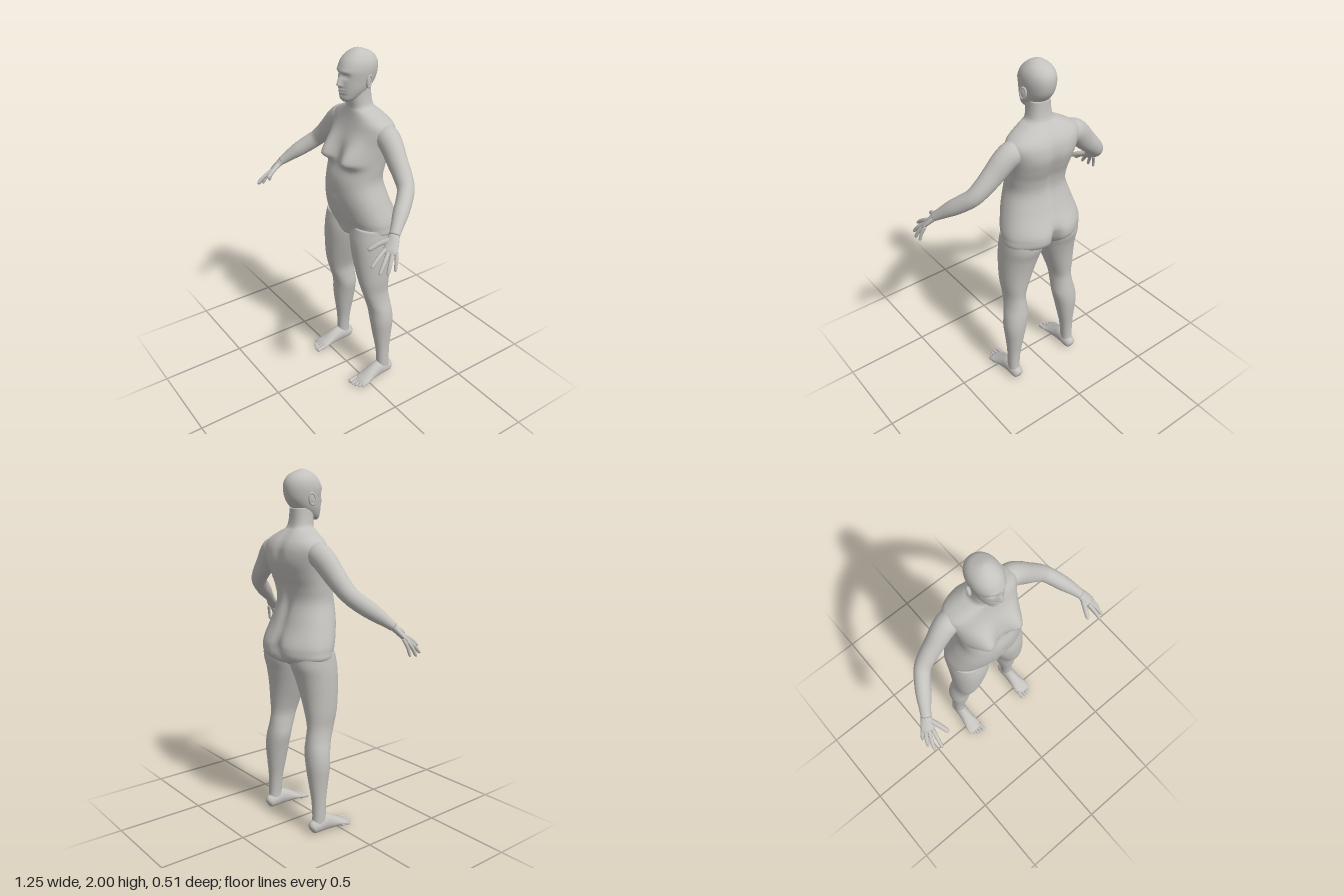
import * as THREE from 'three';

const clay = new THREE.MeshStandardMaterial({ color: 0xc4c2be });
clay.name = 'clay';

// Smooth interpolation of every column of a section table
function refine(rows, steps) {
  const out = [];
  const at = (i) => rows[Math.min(Math.max(i, 0), rows.length - 1)];
  for (let i = 0; i < rows.length - 1; i++) {
    for (let k = 0; k < steps; k++) {
      const t = k / steps;
      out.push(rows[i].map((b, c) => {
        const a = at(i - 1)[c], d = at(i + 1)[c], e = at(i + 2)[c];
        return b + 0.5 * t * (d - a + t * (2 * a - 5 * b + 4 * d - e + t * (3 * (b - d) + e - a)));
      }));
    }
  }
  out.push(rows[rows.length - 1]);
  return out;
}

// Closed skin over a list of rings, with both ends capped
function skin(rings) {
  const n = rings[0].length, last = rings.length - 1;
  const pos = [], idx = [];
  rings.forEach((r) => r.forEach((p) => pos.push(p.x, p.y, p.z)));
  for (let i = 0; i < last; i++) {
    for (let j = 0; j < n; j++) {
      const a = i * n + j, b = i * n + (j + 1) % n;
      idx.push(a, a + n, b, b, a + n, b + n);
    }
  }
  [0, last].forEach((i) => {
    const c = new THREE.Vector3();
    rings[i].forEach((p) => c.addScaledVector(p, 1 / n));
    const m = pos.length / 3;
    pos.push(c.x, c.y, c.z);
    for (let j = 0; j < n; j++) {
      const a = i * n + j, b = i * n + (j + 1) % n;
      if (i === 0) idx.push(m, a, b); else idx.push(m, b, a);
    }
  });
  const g = new THREE.BufferGeometry();
  g.setAttribute('position', new THREE.Float32BufferAttribute(pos, 3));
  g.setIndex(idx);
  g.computeVertexNormals();
  return g;
}

// Upright form from rows [y, centreX, halfWidth, zFront, zBack]; sculpt(p, front) moves points
function upright(rows, sides, steps, power, sculpt) {
  return skin(refine(rows, steps).map(([y, cx, hw, zf, zb]) => {
    const ring = [];
    for (let j = 0; j < sides; j++) {
      const a = (j / sides) * Math.PI * 2, c = Math.cos(a), s = Math.sin(a);
      const p = new THREE.Vector3(
        cx + hw * Math.sign(c) * Math.abs(c) ** power, y,
        (zf + zb) / 2 + (zf - zb) / 2 * Math.sign(s) * Math.abs(s) ** power);
      if (sculpt) p.z += sculpt(p.x, y, s);
      ring.push(p);
    }
    return ring;
  }));
}

// Limb along a path of rows [x, y, z, sideRadius, heightRadius]
function limb(rows, sides = 16, steps = 5) {
  const path = refine(rows, steps);
  const v = path.map((r) => new THREE.Vector3(r[0], r[1], r[2]));
  return skin(path.map((r, i) => {
    const T = v[Math.min(i + 1, v.length - 1)].clone().sub(v[Math.max(i - 1, 0)]).normalize();
    const U = T.clone().cross(new THREE.Vector3(0, 1, 0)).normalize();
    const V = U.clone().cross(T);
    return Array.from({ length: sides }, (_, j) => {
      const a = (j / sides) * Math.PI * 2;
      return v[i].clone().addScaledVector(U, r[3] * Math.cos(a)).addScaledVector(V, r[4] * Math.sin(a));
    });
  }));
}

function mirrored(g) {
  const m = g.clone().scale(-1, 1, 1);
  const a = m.index.array;
  for (let i = 0; i < a.length; i += 3) [a[i], a[i + 1]] = [a[i + 1], a[i]];
  m.computeVertexNormals();
  return m;
}

// Soft bump with separate spreads below and above its centre
const bell = (d, s) => Math.exp(-0.5 * (d / s) ** 2);
const bump = (x, y, cx, cy, sx, down, up) => bell(x - cx, sx) * bell(y - cy, y < cy ? down : up);

export function createModel() {
  const group = new THREE.Group();
  const add = (name, g) => {
    const m = new THREE.Mesh(g, clay);
    m.name = name;
    group.add(m);
  };
  const pair = (name, g) => {
    add('left' + name, g);
    add('right' + name, mirrored(g));
  };

  // Torso and neck
  add('torso', upright([
    [0.935, 0, 0.02, -0.04, -0.12], [0.96, 0, 0.12, 0.005, -0.2], [1.0, 0, 0.232, 0.022, -0.24],
    [1.05, 0, 0.242, 0.038, -0.25], [1.1, 0, 0.235, 0.055, -0.245], [1.2, 0, 0.206, 0.076, -0.212],
    [1.3, 0, 0.177, 0.078, -0.187], [1.38, 0, 0.18, 0.058, -0.195], [1.45, 0, 0.188, 0.042, -0.22],
    [1.52, 0, 0.2, 0.025, -0.24], [1.58, 0, 0.214, 0.004, -0.237], [1.62, 0, 0.208, -0.008, -0.222],
    [1.65, 0, 0.17, -0.015, -0.2], [1.68, 0, 0.112, -0.02, -0.172], [1.7, 0, 0.075, -0.022, -0.155],
    [1.74, 0, 0.064, -0.018, -0.145], [1.8, 0, 0.06, -0.015, -0.14],
  ], 96, 6, 0.88, (x, y, s) => {
    const ax = Math.abs(x);
    if (s > 0) {
      return s ** 0.5 * (0.068 * bump(ax, y, 0.105, 1.43, 0.045, 0.022, 0.065)
        - 0.012 * bump(x, y, 0, 1.22, 0.01, 0.012, 0.012)
        + 0.012 * bump(x, y, 0, 0.965, 0.025, 0.02, 0.025));
    }
    return (-s) ** 0.5 * (0.018 * bump(x, y, 0, 1.4, 0.025, 0.22, 0.18)
      + 0.045 * bump(x, y, 0, 1.0, 0.018, 0.05, 0.05)
      - 0.018 * bump(ax, y, 0.1, 1.03, 0.06, 0.04, 0.06));
  }));

  // Head with sculpted face
  add('head', upright([
    [1.735, 0, 0.022, 0.02, -0.025], [1.75, 0, 0.042, 0.031, -0.06], [1.78, 0, 0.06, 0.034, -0.11],
    [1.81, 0, 0.071, 0.036, -0.145], [1.85, 0, 0.079, 0.037, -0.172], [1.9, 0, 0.085, 0.038, -0.182],
    [1.94, 0, 0.079, 0.023, -0.175], [1.97, 0, 0.061, -0.004, -0.15], [1.99, 0, 0.036, -0.035, -0.11],
    [2.0, 0, 0.008, -0.065, -0.08],
  ], 112, 8, 0.95, (x, y, s) => {
    if (s <= 0) return 0;
    const ax = Math.abs(x);
    return s * (0.023 * bump(x, y, 0, 1.828, 0.009, 0.007, 0.028)
      + 0.007 * bump(ax, y, 0.013, 1.824, 0.006, 0.006, 0.008)
      - 0.013 * bump(ax, y, 0.032, 1.874, 0.014, 0.01, 0.009)
      + 0.005 * bump(ax, y, 0.032, 1.897, 0.022, 0.006, 0.01)
      + 0.008 * bump(x, y, 0, 1.8, 0.015, 0.004, 0.006)
      + 0.008 * bump(x, y, 0, 1.786, 0.014, 0.005, 0.004)
      - 0.004 * bump(x, y, 0, 1.774, 0.02, 0.005, 0.005));
  }));

  // Eyes and ears
  pair('Eye', new THREE.SphereGeometry(0.011, 16, 12).scale(1.15, 0.75, 1).translate(0.032, 1.874, 0.011));
  pair('Ear', new THREE.SphereGeometry(1, 16, 12).scale(0.009, 0.034, 0.02)
    .rotateY(0.35).rotateX(-0.15).translate(0.088, 1.845, -0.076));
  pair('EarRim', new THREE.TorusGeometry(0.02, 0.005, 8, 20).scale(0.85, 1.5, 1)
    .rotateY(Math.PI / 2 + 0.35).rotateX(-0.15).translate(0.094, 1.847, -0.078));

  // Legs
  pair('Leg', upright([
    [0.035, 0.21, 0.034, -0.085, -0.17], [0.1, 0.211, 0.034, -0.085, -0.163], [0.2, 0.206, 0.039, -0.08, -0.165],
    [0.3, 0.199, 0.052, -0.065, -0.176], [0.4, 0.193, 0.067, -0.052, -0.185], [0.48, 0.181, 0.072, -0.045, -0.182],
    [0.55, 0.174, 0.063, -0.025, -0.172], [0.62, 0.171, 0.06, -0.002, -0.164], [0.7, 0.163, 0.076, 0.018, -0.17],
    [0.8, 0.147, 0.096, 0.031, -0.182], [0.9, 0.131, 0.113, 0.037, -0.203], [0.97, 0.123, 0.12, 0.034, -0.225],
    [1.04, 0.12, 0.117, 0.02, -0.225],
  ], 40, 4, 0.92));

  // Feet and toes
  pair('Foot', limb([
    [0.21, 0.032, -0.182, 0.014, 0.016], [0.21, 0.036, -0.172, 0.03, 0.034], [0.21, 0.045, -0.14, 0.037, 0.043],
    [0.211, 0.052, -0.09, 0.038, 0.05], [0.213, 0.042, -0.04, 0.041, 0.04], [0.216, 0.029, 0.01, 0.048, 0.025],
    [0.218, 0.02, 0.045, 0.051, 0.016], [0.218, 0.014, 0.066, 0.038, 0.008],
  ], 28, 5));
  for (let i = 0; i < 5; i++) {
    const x = [0.178, 0.202, 0.222, 0.241, 0.259][i], tip = [0.105, 0.103, 0.095, 0.083, 0.066][i];
    const r = i ? 0.0095 - i * 0.0003 : 0.0135;
    pair('Toe' + (i + 1), limb([
      [x, 0.02, tip - 0.06, r, r], [x, 0.016, tip - 0.025, r * 0.9, r * 0.9],
      [x + 0.001, 0.013, tip - 0.008, r, r], [x + 0.001, 0.011, tip, r * 0.4, r * 0.4],
    ], 12, 4));
  }

  // Arms
  pair('Arm', limb([
    [0.13, 1.59, -0.12, 0.04, 0.04], [0.19, 1.572, -0.12, 0.062, 0.064], [0.24, 1.54, -0.115, 0.06, 0.066],
    [0.3, 1.478, -0.106, 0.053, 0.061], [0.36, 1.42, -0.097, 0.049, 0.053], [0.41, 1.372, -0.08, 0.045, 0.047],
    [0.45, 1.33, -0.038, 0.043, 0.046], [0.485, 1.29, 0.01, 0.041, 0.042], [0.52, 1.247, 0.06, 0.032, 0.031],
    [0.542, 1.218, 0.093, 0.028, 0.024],
  ], 28, 5));

  // Hands
  pair('Palm', limb([
    [0.53, 1.233, 0.076, 0.025, 0.022], [0.545, 1.212, 0.098, 0.03, 0.02], [0.559, 1.185, 0.12, 0.036, 0.017],
    [0.573, 1.16, 0.141, 0.036, 0.014], [0.58, 1.148, 0.151, 0.028, 0.007],
  ], 24, 5));
  const fingers = {
    Thumb: [[0.54, 1.205, 0.11], [0.515, 1.185, 0.165], [0.495, 1.155, 0.218], 0.014],
    IndexFinger: [[0.553, 1.168, 0.155], [0.562, 1.138, 0.205], [0.567, 1.1, 0.25], 0.0105],
    MiddleFinger: [[0.57, 1.16, 0.147], [0.592, 1.12, 0.19], [0.605, 1.072, 0.228], 0.0105],
    RingFinger: [[0.584, 1.158, 0.133], [0.606, 1.115, 0.163], [0.619, 1.063, 0.188], 0.0105],
    LittleFinger: [[0.592, 1.16, 0.115], [0.61, 1.118, 0.13], [0.62, 1.068, 0.142], 0.009],
  };
  for (const [name, [a, b, c, r]] of Object.entries(fingers)) {
    const near = b.map((v, k) => v + (c[k] - v) * 0.8);
    pair(name, limb([
      [...a, r, r], [...b, r, r], [...near, r * 0.85, r * 0.85], [...c, r * 0.35, r * 0.35],
    ], 12, 5));
  }
  return group;
}
